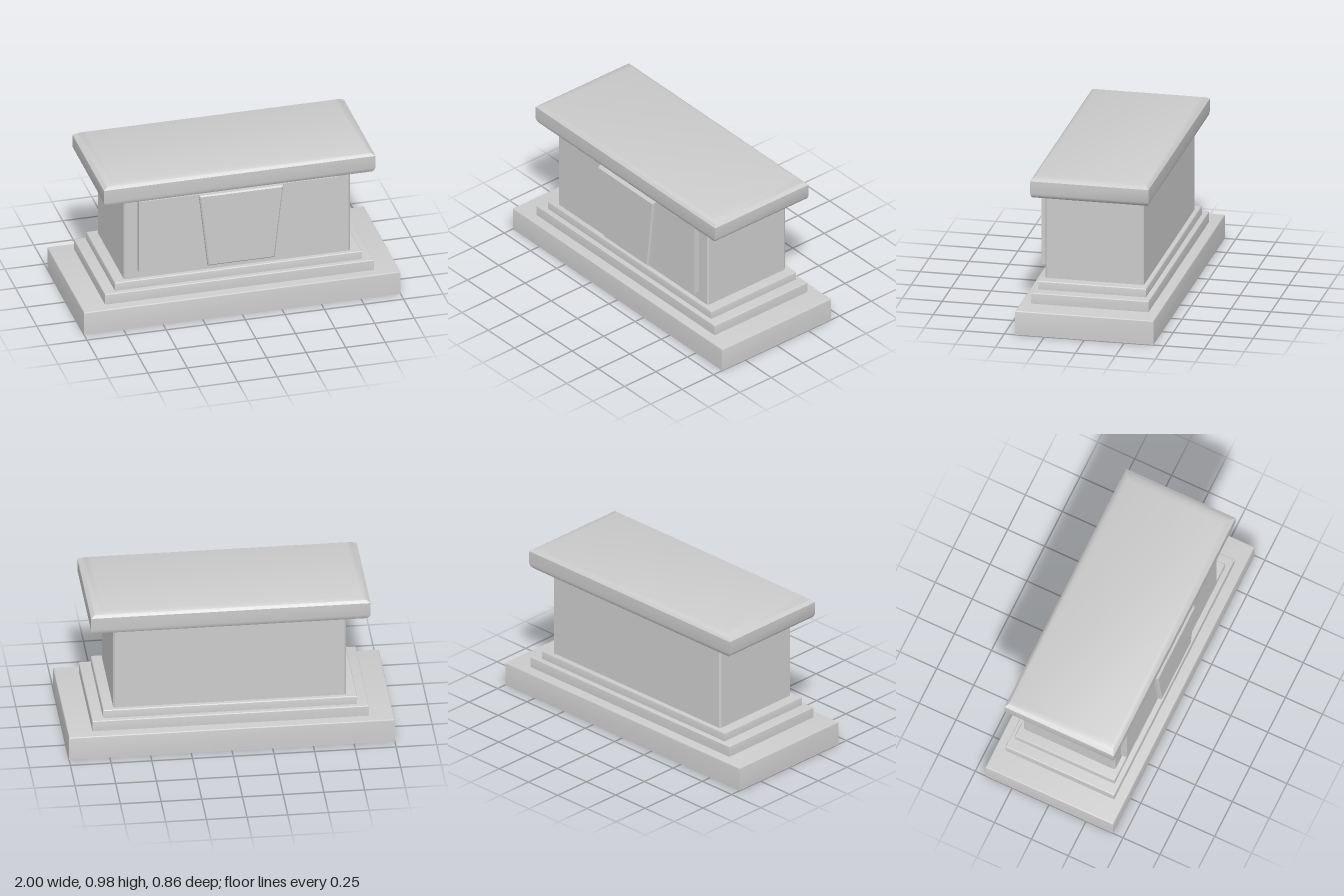
import * as THREE from 'three';
import { toCreasedNormals } from 'three/addons/utils/BufferGeometryUtils.js';

const material = new THREE.MeshStandardMaterial({ color: 0xcccccc });

function addMesh(group, name, geometry, crease = 0.6) {
  const mesh = new THREE.Mesh(toCreasedNormals(geometry, crease), material);
  mesh.name = name;
  group.add(mesh);
}

// Rectangular outline, counter-clockwise from above, with optional cut corners
function outline(hx, hz, cut) {
  if (!cut) return [[hx, hz], [hx, -hz], [-hx, -hz], [-hx, hz]];
  return [
    [hx - cut, hz], [hx, hz - cut], [hx, cut - hz], [hx - cut, -hz],
    [cut - hx, -hz], [-hx, cut - hz], [-hx, hz - cut], [cut - hx, hz],
  ];
}

// Closed solid through levels of [half width, half depth, height]
function loftRects(levels, cut = 0) {
  const positions = [];
  const index = [];
  const n = cut ? 8 : 4;
  for (const [hx, hz, y] of levels) {
    for (const [x, z] of outline(hx, hz, cut)) positions.push(x, y, z);
  }
  for (let k = 0; k < levels.length - 1; k++) {
    for (let i = 0; i < n; i++) {
      const a = k * n + i, b = k * n + (i + 1) % n;
      index.push(a, b, b + n, a, b + n, a + n);
    }
  }
  const top = (levels.length - 1) * n;
  for (let i = 1; i < n - 1; i++) {
    index.push(0, i + 1, i, top, top + i, top + i + 1);
  }
  const geometry = new THREE.BufferGeometry();
  geometry.setAttribute('position', new THREE.Float32BufferAttribute(positions, 3));
  geometry.setIndex(index);
  return geometry;
}

// Slab with softened upper edges
function slab(hx, hz, y0, y1, r) {
  const levels = [[hx, hz, y0]];
  for (let i = 0; i <= 3; i++) {
    const a = (i / 3) * Math.PI / 2;
    const inset = r * (1 - Math.cos(a));
    levels.push([hx - inset, hz - inset, y1 - r + r * Math.sin(a)]);
  }
  return loftRects(levels);
}

export function createModel() {
  const group = new THREE.Group();
  group.name = 'pedestal';

  // Stepped foot
  addMesh(group, 'plinth', slab(1, 0.432, 0, 0.155, 0.008));
  addMesh(group, 'lowerStep', slab(0.85, 0.368, 0.15, 0.225, 0.006));
  addMesh(group, 'upperStep', slab(0.78, 0.337, 0.22, 0.28, 0.006));

  // Main block with cut vertical corners
  addMesh(group, 'body', loftRects([[0.715, 0.309, 0.275], [0.715, 0.309, 0.845]], 0.01));

  // Front panel
  const panel = new THREE.BoxGeometry(1.26, 0.49, 0.06);
  panel.translate(0, 0.582, 0.32);
  addMesh(group, 'frontPanel', panel);

  // Tapered keystone with a bevelled face
  const b = 0.008;
  const shape = new THREE.Shape([
    new THREE.Vector2(-0.2, 0.337), new THREE.Vector2(0.22, 0.337),
    new THREE.Vector2(0.275, 0.828), new THREE.Vector2(-0.255, 0.828),
  ]);
  const keystone = new THREE.ExtrudeGeometry(shape, {
    depth: 0.04, bevelEnabled: true, bevelThickness: b, bevelSize: b, bevelOffset: -b, bevelSegments: 1,
  });
  keystone.translate(0, 0, 0.33);
  addMesh(group, 'keystone', keystone);

  // Table slab: undercut below, rounded shoulder above
  addMesh(group, 'topSlab', loftRects([
    [0.835, 0.36, 0.838], [0.85, 0.366, 0.848], [0.858, 0.37, 0.866], [0.858, 0.37, 0.948],
    [0.835, 0.355, 0.963], [0.81, 0.342, 0.973], [0.785, 0.327, 0.98],
  ]), 0.75);

  return group;
}
